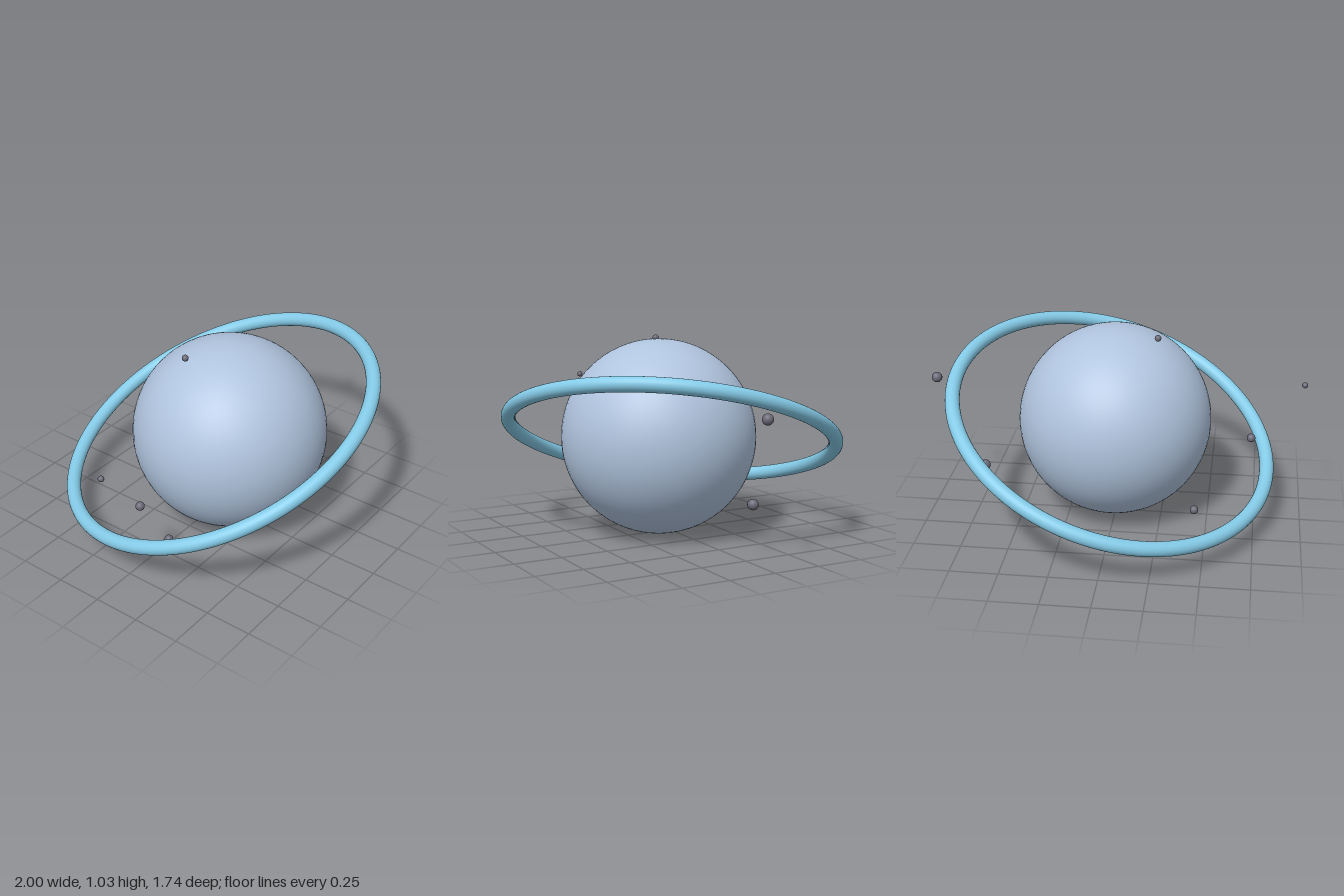
import * as THREE from 'three';

export function createModel() {
  const group = new THREE.Group();
  const material = (name, color) => {
    const m = new THREE.MeshStandardMaterial({ color });
    m.name = name;
    return m;
  };
  const planetBlue = material('planetBlue', 0xb0c4de);
  const ringBlue = material('ringBlue', 0x87ceeb);
  const moonGrey = material('moonGrey', 0x6c6a78);

  const add = (name, geometry, mat, x, y, z) => {
    const mesh = new THREE.Mesh(geometry, mat);
    mesh.name = name;
    mesh.position.set(x, y, z);
    group.add(mesh);
    return mesh;
  };

  // Planet
  add('planet', new THREE.SphereGeometry(0.514, 64, 48), planetBlue, 0.01, 0.521, 0.074);

  // Tilted ring: the torus axis is turned onto the ring's normal
  const ring = add('ring', new THREE.TorusGeometry(0.866, 0.038, 24, 128), ringBlue, 0.012, 0.521, -0.002);
  const normal = new THREE.Vector3(-0.314, 0.91, -0.269).normalize();
  ring.quaternion.setFromUnitVectors(new THREE.Vector3(0, 0, 1), normal);

  // Small moons: x, y, z, radius
  const moons = [
    [0.969, 0.726, 0.031, 0.028],
    [0.703, 0.267, -0.068, 0.028],
    [-0.222, 1.021, -0.035, 0.017],
    [-0.985, 0.759, 0.064, 0.0155],
    [-0.72, 0.444, 0.063, 0.023],
    [-0.43, 0.026, 0, 0.023],
    [0.406, 0.815, 0.032, 0.018],
  ];
  moons.forEach(([x, y, z, r], i) => {
    add(`moon${i + 1}`, new THREE.SphereGeometry(r, 20, 14), moonGrey, x, y, z);
  });

  return group;
}
